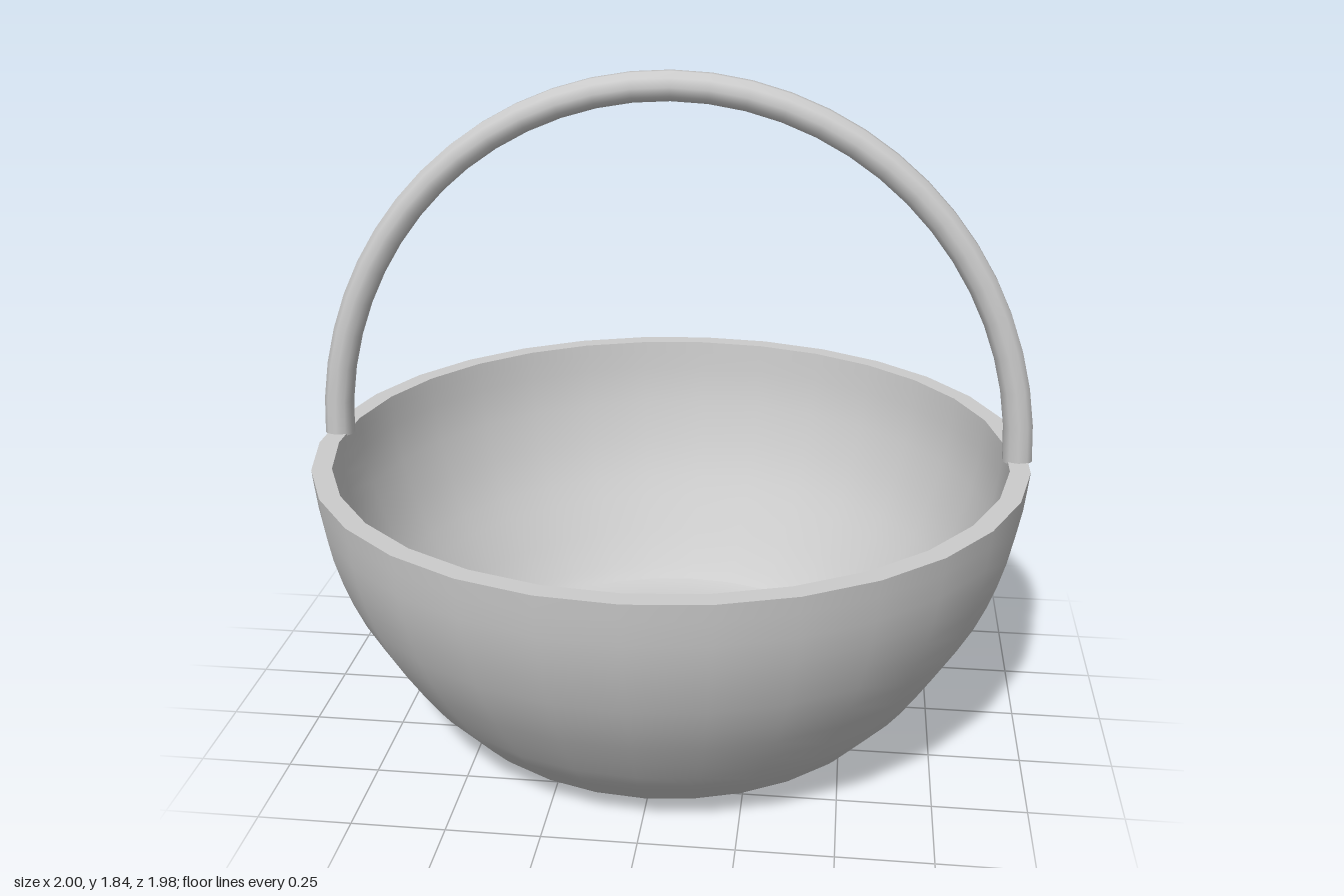
import * as THREE from 'three';

const SIDES = 30;

export function createModel() {
  const model = new THREE.Group();
  const material = new THREE.MeshStandardMaterial({ color: 0xcccccc });

  const add = (parent, name, geometry) => {
    const mesh = new THREE.Mesh(geometry, material);
    mesh.name = name;
    parent.add(mesh);
    return mesh;
  };

  // Smooth surface of revolution through a few [radius, height] points
  const turned = (points, steps) => {
    const curve = new THREE.SplineCurve(points.map(([r, y]) => new THREE.Vector2(r, y)));
    return new THREE.LatheGeometry(curve.getPoints(steps), SIDES);
  };

  // Bowl: separate turned bands keep the rim and floor edges sharp
  const bowl = new THREE.Group();
  bowl.name = 'bowl';
  model.add(bowl);
  add(bowl, 'base', turned([[0, 0], [0.4, 0.01], [0.54, 0.02], [0.6, 0.035]], 9));
  add(bowl, 'outerWall', turned(
    [[0.6, 0.035], [0.63, 0.055], [0.675, 0.1], [0.76, 0.2], [0.89, 0.41], [0.965, 0.62], [0.99, 0.8]], 18));
  add(bowl, 'rim', turned([[0.99, 0.8], [0.935, 0.8]], 1));
  add(bowl, 'innerWall', turned(
    [[0.935, 0.8], [0.912, 0.62], [0.84, 0.41], [0.72, 0.22], [0.64, 0.12], [0.6, 0.085]], 18));
  add(bowl, 'innerFloor', turned([[0.6, 0.085], [0.54, 0.07], [0.4, 0.06], [0, 0.05]], 9));

  // Handle: half-ellipse hoop standing on the rim
  const handle = new THREE.Group();
  handle.name = 'handle';
  model.add(handle);
  const arch = new THREE.CatmullRomCurve3(
    Array.from({ length: 33 }, (_, i) => {
      const a = (i / 32) * Math.PI;
      return new THREE.Vector3(0.957 * Math.cos(a), 0.795 + 1.005 * Math.sin(a), 0);
    }));
  add(handle, 'hoop', new THREE.TubeGeometry(arch, 30, 0.041, 10));

  // Flat ends of the hoop
  for (const side of [-1, 1]) {
    const cap = add(handle, side > 0 ? 'leftEnd' : 'rightEnd', new THREE.CircleGeometry(0.041, 10));
    cap.rotation.x = Math.PI / 2;
    cap.position.set(side * 0.957, 0.795, 0);
  }

  return model;
}
